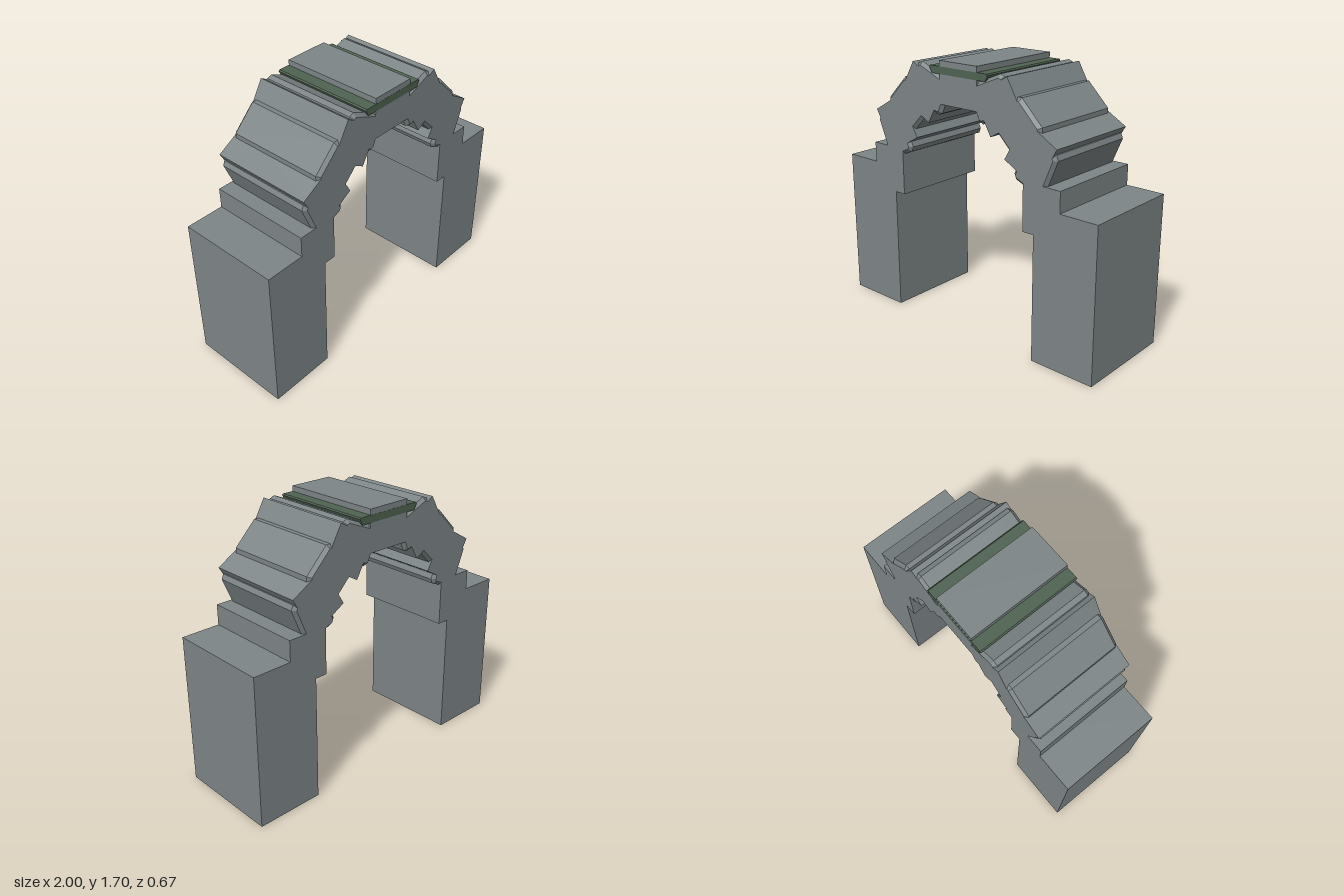
import * as THREE from 'three';

export function createModel() {
  const arch = new THREE.Group();
  arch.name = 'stoneArch';
  const stone = new THREE.MeshStandardMaterial({ color: 0x7d8587, flatShading: true });
  const moss = new THREE.MeshStandardMaterial({ color: 0x4f6352, flatShading: true });
  const DEPTH = 0.665;

  function add(name, geometry, x, y, tilt = 0, material = stone) {
    const mesh = new THREE.Mesh(geometry, material);
    mesh.name = name;
    mesh.position.set(x, y, 0);
    mesh.rotation.z = THREE.MathUtils.degToRad(tilt);
    arch.add(mesh);
  }

  const block = (w, h) => new THREE.BoxGeometry(w, h, DEPTH);

  const outline = (points) => new THREE.Shape(points.map(([x, y]) => new THREE.Vector2(x, y)));

  // Box with every edge cut at 45 degrees
  function chamferedBlock(w, h, c = 0.02) {
    const a = w / 2 - c, b = h / 2 - c, k = c * 0.6;
    const shape = outline([
      [-a + k, -b], [a - k, -b], [a, -b + k], [a, b - k],
      [a - k, b], [-a + k, b], [-a, b - k], [-a, -b + k],
    ]);
    const geometry = new THREE.ExtrudeGeometry(shape, {
      depth: DEPTH - 2 * c, bevelEnabled: true, bevelSegments: 1, bevelSize: c, bevelThickness: c,
    });
    return geometry.translate(0, 0, -DEPTH / 2 + c);
  }

  for (const [side, s] of [['left', 1], ['right', -1]]) {
    // Pillar and the stepped block on its inner top corner
    add(`${side}Pillar`, block(0.432, 0.97), s * 0.784, 0.485);
    add(`${side}Impost`, block(0.26, 0.3), s * 0.62, 0.95);

    // Tilted arch stones from the impost up to the keystone
    add(`${side}ArchStone1`, chamferedBlock(0.23, 0.285), s * 0.565, 1.19, -s * 22.5);
    add(`${side}ArchStone2`, block(0.254, 0.29), s * 0.537, 1.262, -s * 30);
    add(`${side}ArchStone3`, chamferedBlock(0.25, 0.28), s * 0.434, 1.393, -s * 45);
    add(`${side}ArchStone4`, block(0.252, 0.284), s * 0.31, 1.49, -s * 60);
    add(`${side}ArchStone5`, chamferedBlock(0.285, 0.234), s * 0.243, 1.522, s * 22.5);
  }

  // Keystone at the crown
  add('keystone', block(0.296, 0.26), 0, 1.57);

  // Mossy slab running through the keystone
  const slab = outline([
    [-0.21, 0], [0.21, 0], [0.23, 0.038], [0.222, 0.045], [-0.222, 0.045], [-0.23, 0.038],
  ]);
  const slabDepth = DEPTH + 0.002;
  const slabGeometry = new THREE.ExtrudeGeometry(slab, { depth: slabDepth, bevelEnabled: false });
  add('mossSlab', slabGeometry.translate(0, 0, -slabDepth / 2), 0, 1.62, 0, moss);

  return arch;
}
